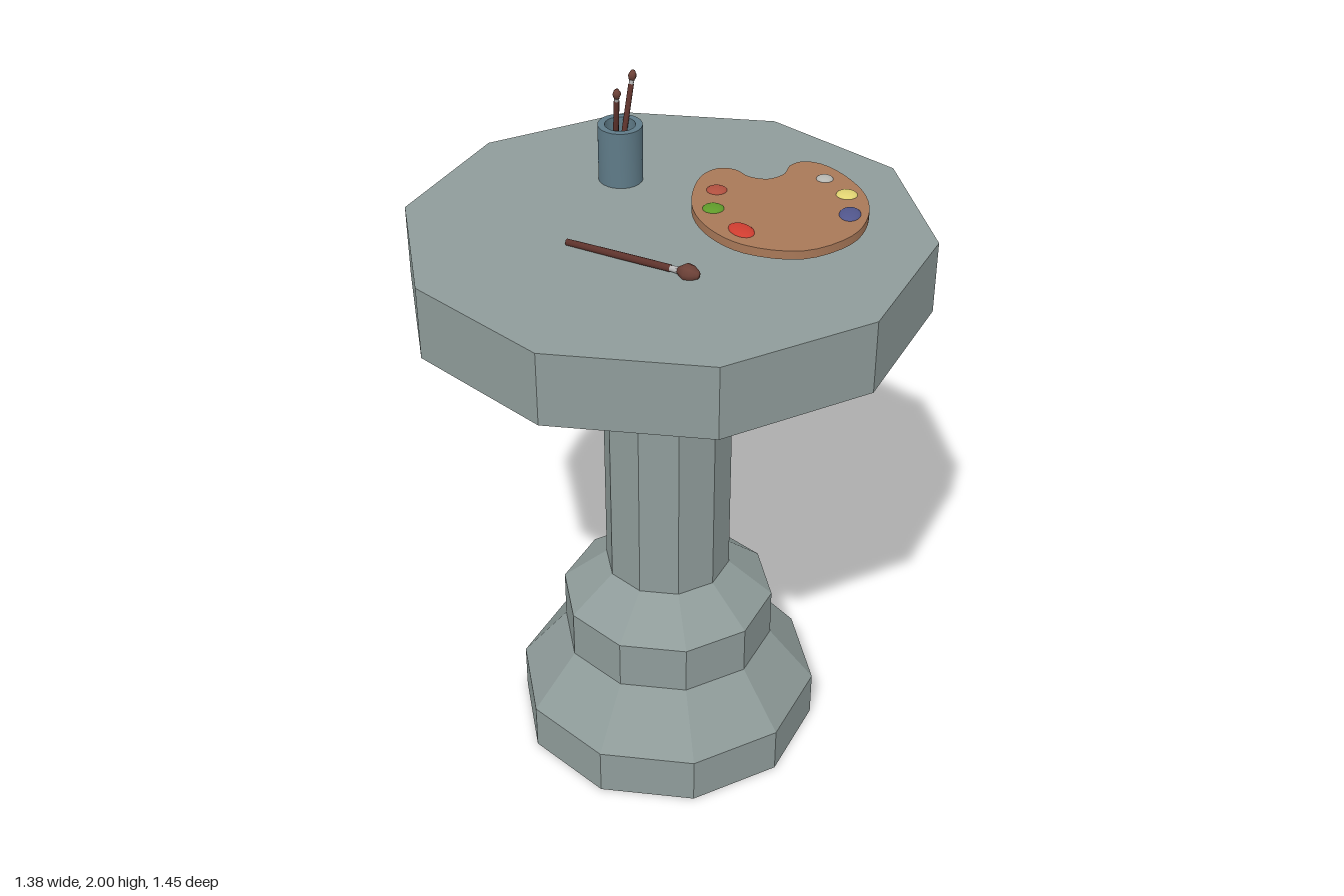
import * as THREE from 'three';
import { toCreasedNormals } from 'three/addons/utils/BufferGeometryUtils.js';

const mat = (color, flatShading = false) => new THREE.MeshStandardMaterial({ color, flatShading });
const stone = mat(0x8f9c9a, true);
const steel = mat(0x5f7b88);
const wood = mat(0xa87858);
const handleMat = mat(0x5e332c);
const ferruleMat = mat(0xb8b8b8);
const bristleMat = mat(0x6e4238);

function add(parent, name, geometry, material) {
  const mesh = new THREE.Mesh(geometry, material);
  mesh.name = name;
  parent.add(mesh);
  return mesh;
}

// Revolved profile given as [radius, height] pairs, bottom to top on the outside
function lathe(profile, sides) {
  return new THREE.LatheGeometry(profile.map(([r, y]) => new THREE.Vector2(r, y)), sides);
}

// Paint brush reaching from its handle end to its bristle tip
function brush(name, from, to, handleR, headR, headLength) {
  const g = new THREE.Group();
  g.name = name;
  const a = new THREE.Vector3(...from), dir = new THREE.Vector3(...to).sub(a);
  const neck = dir.length() - headLength, f = headLength * 0.28, h = headLength - f;
  add(g, 'handle', lathe([[0, 0], [handleR * 0.9, 0], [handleR, neck * 0.5], [handleR, neck], [0, neck]], 8), handleMat);
  add(g, 'ferrule', lathe([[handleR * 0.8, neck], [handleR, neck + f]], 8), ferruleMat);
  const b = neck + f;
  add(g, 'bristles', lathe([[0, b], [handleR, b], [headR, b + h * 0.4], [headR * 0.85, b + h * 0.65], [headR * 0.4, b + h * 0.95], [0, b + h]], 8), bristleMat);
  g.position.copy(a);
  g.quaternion.setFromUnitVectors(new THREE.Vector3(0, 1, 0), dir.normalize());
  return g;
}

export function createModel() {
  const model = new THREE.Group();
  model.name = 'paintingTable';

  // Ten-sided pedestal and table top
  add(model, 'pedestal', lathe([[0, 0], [0.457, 0], [0.457, 0.145], [0.32, 0.315], [0.32, 0.465], [0.187, 0.575], [0.187, 1.5]], 10), stone);
  add(model, 'tableTop', new THREE.CylinderGeometry(0.725, 0.725, 0.209, 10), stone).position.y = 1.6;

  // Hollow brush cup
  const cupShape = lathe([[0, 0], [0.067, 0], [0.067, 0.165], [0.046, 0.165], [0.046, 0.02], [0, 0.02]], 24);
  const cup = add(model, 'cup', toCreasedNormals(cupShape, 0.7), steel);
  cup.position.set(-0.081, 1.704, -0.298);
  cup.scale.x = 0.94;

  // Two brushes in the cup, one lying on the table
  model.add(
    brush('cupBrushFront', [-0.096, 1.725, -0.305], [-0.097, 2, -0.238], 0.008, 0.012, 0.04),
    brush('cupBrushBack', [-0.088, 1.725, -0.293], [-0.033, 2, -0.36], 0.008, 0.012, 0.04),
    brush('lyingBrush', [-0.28, 1.711, 0.06], [0.03, 1.716, 0.305], 0.0105, 0.026, 0.085),
  );

  // Palette outline: one half as [offset from its axis, z], then mirrored
  const axis = 0.308;
  const half = [[0.05, -0.165], [0.077, -0.212], [0.117, -0.231], [0.165, -0.208], [0.212, -0.128], [0.239, 0], [0.215, 0.118], [0.144, 0.218]];
  const outline = [[0, -0.142], ...half, [0, 0.275], ...half.map(([d, z]) => [-d, z]).reverse()];
  const curve = new THREE.CatmullRomCurve3(outline.map(([d, z]) => new THREE.Vector3(axis + d, -z, 0)), true);
  const shape = new THREE.Shape(curve.getPoints(72).slice(0, -1).map((p) => new THREE.Vector2(p.x, p.y)));
  const slab = new THREE.ExtrudeGeometry(shape, { depth: 0.025, bevelEnabled: false });
  slab.rotateX(-Math.PI / 2);
  add(model, 'palette', toCreasedNormals(slab, 0.7), wood).position.y = 1.72;

  // Paint blobs: name, color, x, z, half width, half length, turn
  const paints = [
    ['brickPaint', 0xb0503f, 0.154, -0.1, 0.029, 0.029, 0],
    ['greenPaint', 0x5f9a2a, 0.124, 0.004, 0.03, 0.03, 0],
    ['redPaint', 0xcf3d30, 0.173, 0.138, 0.031, 0.045, 0.35],
    ['greyPaint', 0xb5b5b0, 0.461, -0.115, 0.024, 0.024, 0],
    ['yellowPaint', 0xe0d372, 0.497, -0.012, 0.03, 0.03, 0],
    ['bluePaint', 0x51568c, 0.477, 0.1, 0.03, 0.041, -0.35],
  ];
  for (const [name, color, x, z, w, l, turn] of paints) {
    const blob = add(model, name, new THREE.SphereGeometry(1, 20, 6, 0, Math.PI * 2, 0, Math.PI / 2), mat(color));
    blob.position.set(x, 1.744, z);
    blob.scale.set(w, 0.01, l);
    blob.rotation.y = turn;
  }
  return model;
}
